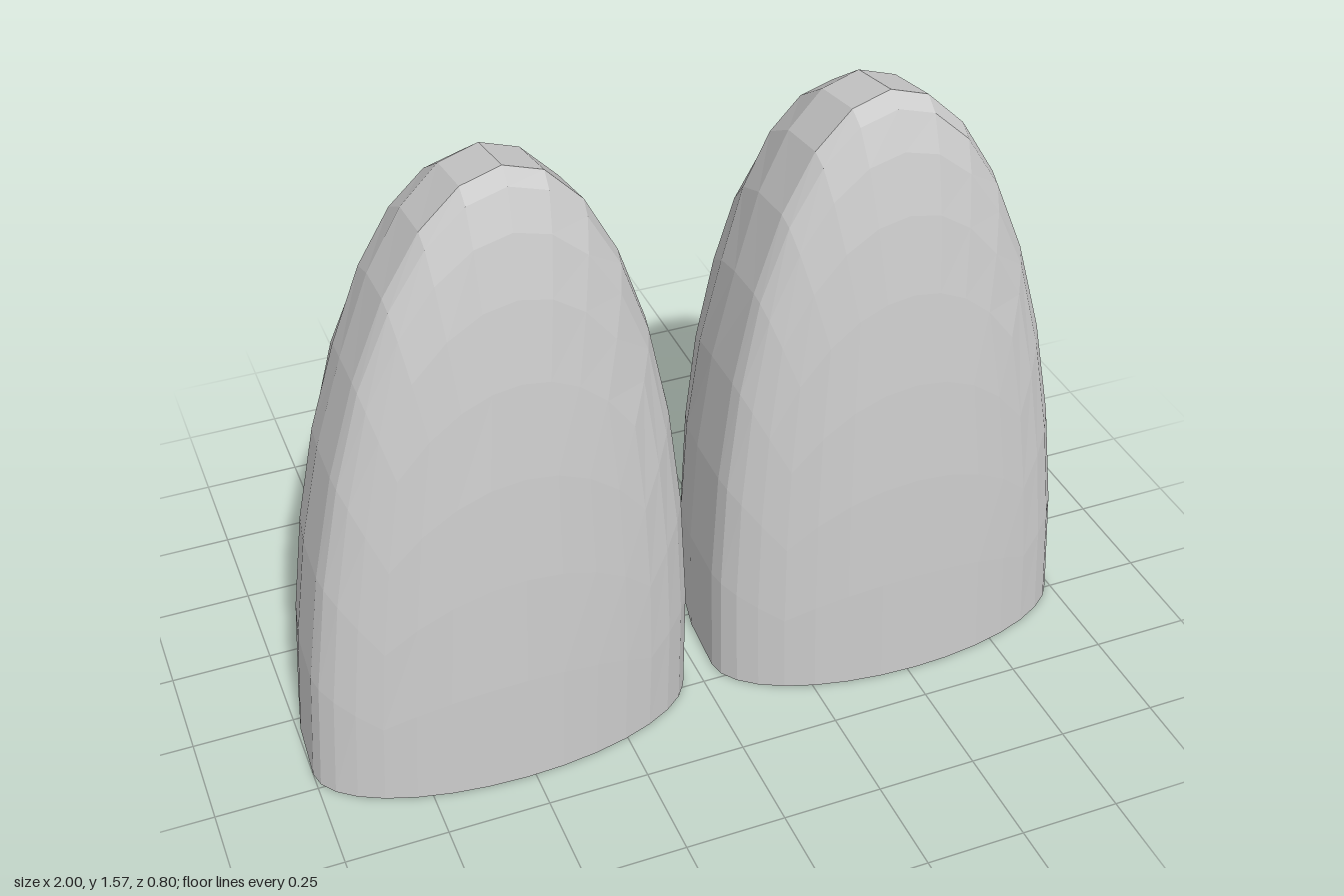
import * as THREE from 'three';

const HALF_WIDTH = 0.4785, HEIGHT = 1.572, CENTRE = 0.5215;
const RIDGE_Z = 0.2, FRONT_DEPTH = 0.2, BACK_DEPTH = 0.6, LEAN = 0.0725;

// A half box rounded into a dome: shallow front, deep full back, apex leaning inwards
function makeDome(side, material) {
  const geometry = new THREE.BoxGeometry(2, 1, 2, 8, 4, 8).translate(0, 0.5, 0);
  const pos = geometry.attributes.position;
  const p = new THREE.Vector3();
  for (let i = 0; i < pos.count; i++) {
    p.fromBufferAttribute(pos, i);
    // distance from the centre keeps the flat base flat
    const reach = Math.max(Math.abs(p.x), Math.abs(p.y), Math.abs(p.z));
    if (reach > 0) p.divideScalar(reach);
    // equal angular steps on the sphere
    p.set(...p.toArray().map((v) => Math.tan((v * Math.PI) / 4))).normalize();
    const n = Math.abs(p.z);
    const depth = p.z > 0 ? FRONT_DEPTH * n : -BACK_DEPTH * n * (1.5 - 0.6 * n + 0.1 * n * n);
    pos.setXYZ(
      i,
      side * CENTRE + reach * (HALF_WIDTH * p.x - side * LEAN * p.y),
      reach * HEIGHT * p.y,
      RIDGE_Z + reach * depth
    );
  }
  geometry.computeVertexNormals();
  return new THREE.Mesh(geometry, material);
}

export function createModel() {
  const group = new THREE.Group();
  group.name = 'pairOfDomes';
  const material = new THREE.MeshStandardMaterial({ color: 0xcccccc, flatShading: true });
  for (const [name, side] of [['leftDome', 1], ['rightDome', -1]]) {
    const dome = makeDome(side, material);
    dome.name = name;
    group.add(dome);
  }
  return group;
}
